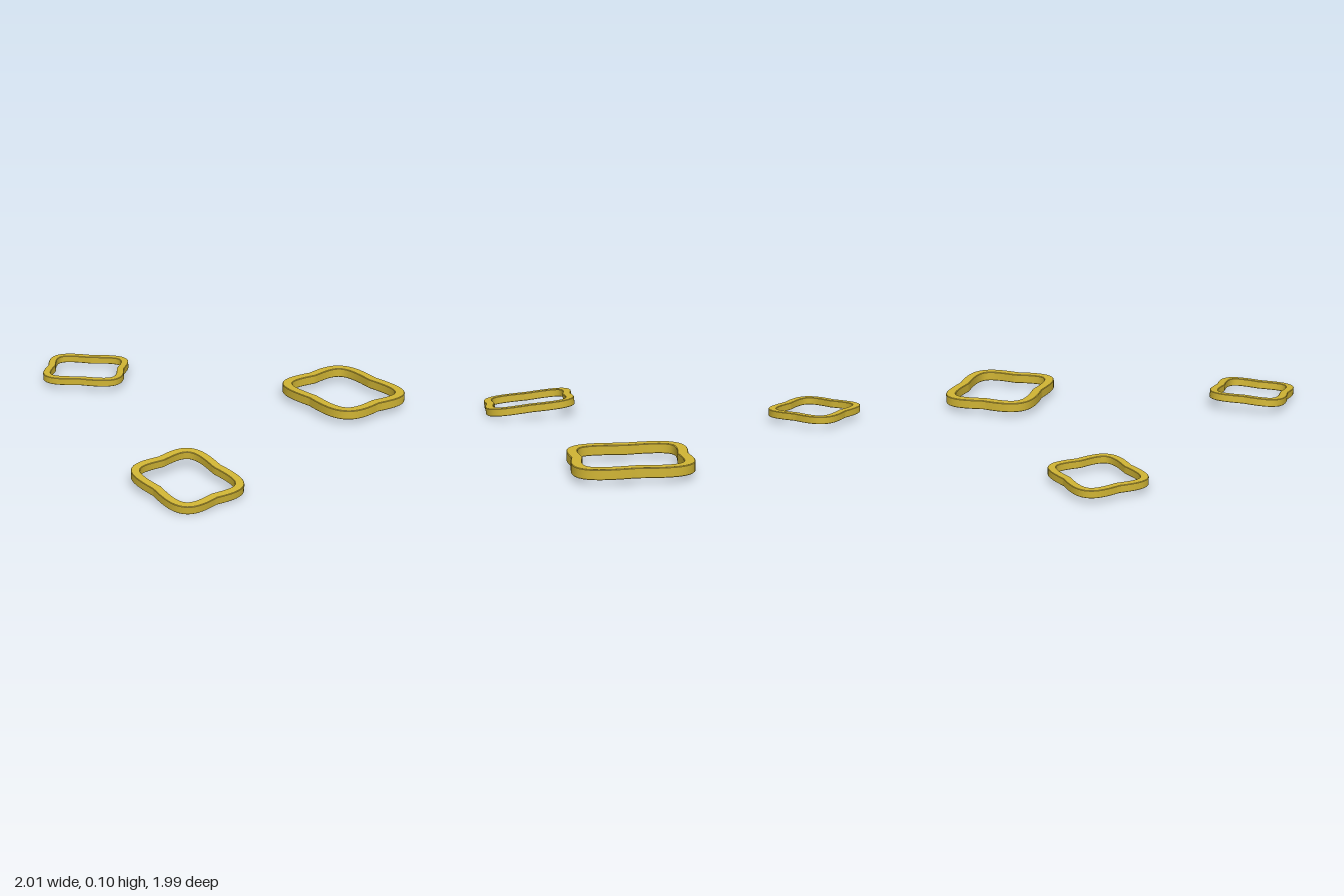
import * as THREE from 'three';
import { toCreasedNormals } from 'three/addons/utils/BufferGeometryUtils.js';

const SEGMENTS = 96;

// Centre line of a band: a rounded square with four lobes and a shallow notch in each side
function pathPoint(angle) {
  const c = Math.cos(angle), s = Math.sin(angle);
  const square = (Math.abs(c) ** 4.5 + Math.abs(s) ** 4.5) ** (-1 / 4.5);
  const r = square * (1 + 0.075 * Math.abs(Math.sin(2 * angle)));
  return new THREE.Vector2(0.213 * r * c, 0.184 * r * s);
}

// Sweep a nearly square section with finely softened edges round the centre line
function bandGeometry() {
  const w = 0.0222, h = 0.021, bevel = 0.0025;
  const section = [
    [w, bevel - h], [w, h - bevel], [w - bevel, h], [bevel - w, h],
    [-w, h - bevel], [-w, bevel - h], [bevel - w, -h], [w - bevel, -h],
  ];
  const n = section.length, positions = [], index = [];
  for (let i = 0; i < SEGMENTS; i++) {
    const angle = (i / SEGMENTS) * Math.PI * 2;
    const p = pathPoint(angle);
    const t = pathPoint(angle + 0.02).sub(pathPoint(angle - 0.02)).normalize();
    section.forEach(([u, v], j) => {
      positions.push(p.x + t.y * u, v, p.y - t.x * u);
      const a = i * n + j, b = i * n + (j + 1) % n;
      const next = ((i + 1) % SEGMENTS) * n;
      const c = next + j, d = next + (j + 1) % n;
      index.push(a, b, c, b, d, c);
    });
  }
  const geometry = new THREE.BufferGeometry();
  geometry.setAttribute('position', new THREE.Float32BufferAttribute(positions, 3));
  geometry.setIndex(index);
  return toCreasedNormals(geometry, 0.6);
}

export function createModel() {
  const model = new THREE.Group();
  model.name = 'bands';
  const gold = new THREE.MeshStandardMaterial({ color: 0xd1b534 });
  gold.name = 'gold';
  const geometry = bandGeometry();

  // Place one band: centre, size, turn in degrees and the upward axis it leans along
  function addBand(name, position, size, turn, axis = [0, 1, 0]) {
    const holder = new THREE.Group();
    holder.name = name;
    holder.position.set(...position);
    holder.quaternion.setFromUnitVectors(
      new THREE.Vector3(0, 1, 0), new THREE.Vector3(...axis).normalize());
    const band = new THREE.Mesh(geometry, gold);
    band.name = name + 'Ring';
    band.scale.setScalar(size);
    band.rotation.y = THREE.MathUtils.degToRad(turn);
    holder.add(band);
    model.add(holder);
  }

  addBand('largeBand', [0.675, 0.053, -0.687], 1.2, -24);
  addBand('smallBand', [-0.75, 0.048, -0.294], 0.93, 22);
  addBand('tiltedBand', [0.467, 0.049, 0.731], 1, -24, [0.075, 1, 0.073]);
  return model;
}
